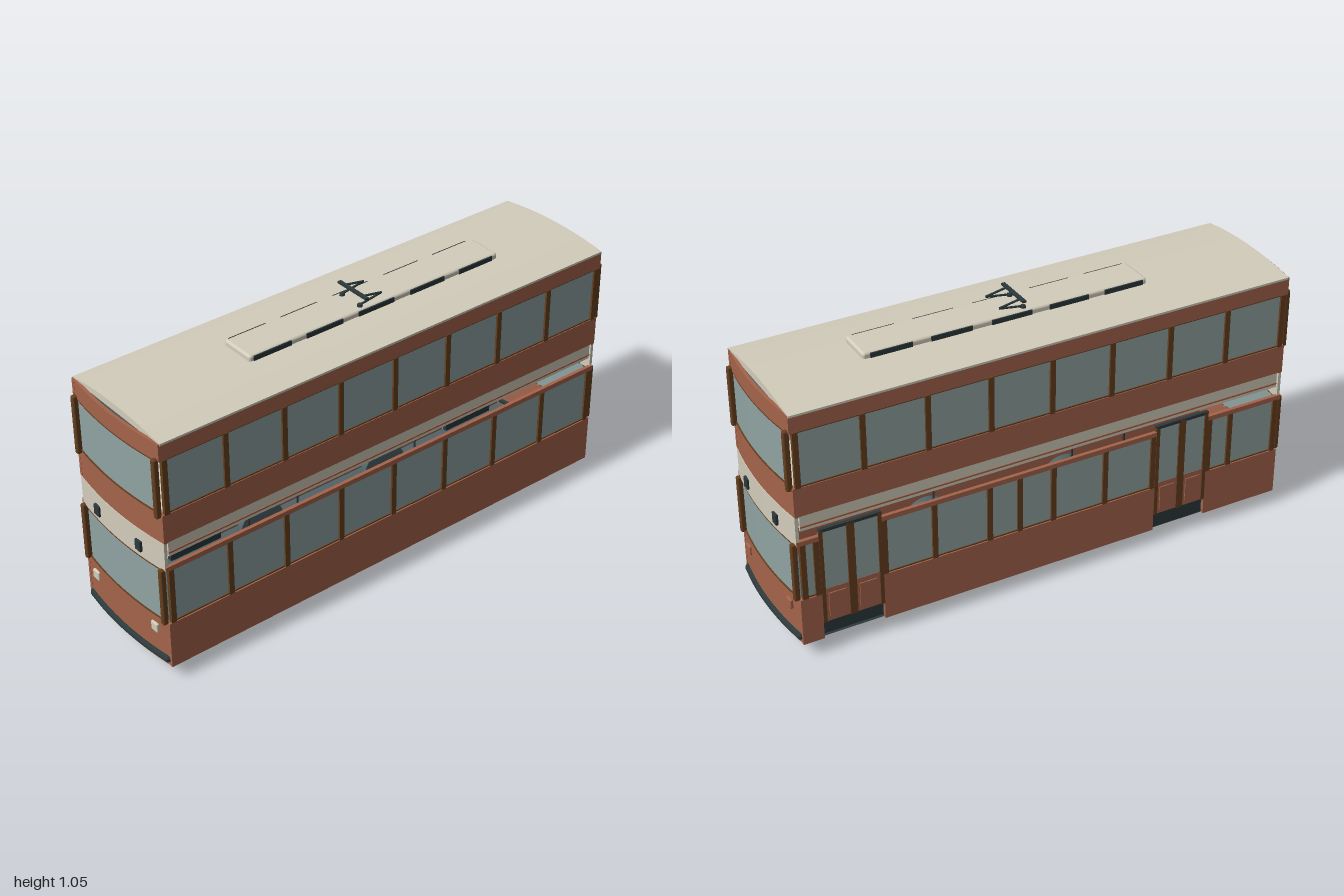
import * as THREE from 'three';
import { toCreasedNormals } from 'three/addons/utils/BufferGeometryUtils.js';
import { RoundedBoxGeometry } from 'three/addons/geometries/RoundedBoxGeometry.js';

const mat = (name, color) => {
  const m = new THREE.MeshStandardMaterial({ color });
  m.name = name;
  return m;
};

export function createModel() {
  const red = mat('brick red', 0xa5644b);
  const cream = mat('cream', 0xd3cdbc);
  const glass = mat('window glass', 0x91a4a3);
  const brown = mat('brown frame', 0x66401f);
  const dark = mat('dark rubber', 0x2c393b);
  const steel = mat('underframe steel', 0x50646a);

  const tram = new THREE.Group();
  tram.name = 'doubleDeckTram';

  const add = (parent, name, geo, material, x = 0, y = 0, z = 0) => {
    const m = new THREE.Mesh(geo, material);
    m.name = name;
    m.position.set(x, y, z);
    parent.add(m);
    return m;
  };
  // Box given by its limits on each axis
  const box = (parent, name, material, x0, x1, y0, y1, z0, z1) =>
    add(parent, name, new THREE.BoxGeometry(x1 - x0, y1 - y0, z1 - z0), material,
      (x0 + x1) / 2, (y0 + y1) / 2, (z0 + z1) / 2);

  // Curved strip that follows the bowed end of the car
  const bow = x => 0.987 - 0.022 * (x / 0.25) ** 2;
  const endStrip = (parent, name, material, half, y0, y1, offset = 0, thick = 0.012) => {
    const shape = new THREE.Shape();
    const n = 14;
    for (let i = 0; i <= n; i++) {
      const x = -half + (2 * half * i) / n;
      const z = -(bow(x) + offset);
      if (i) shape.lineTo(x, z); else shape.moveTo(x, z);
    }
    for (let i = n; i >= 0; i--) {
      const x = -half + (2 * half * i) / n;
      shape.lineTo(x, -(bow(x) + offset - thick));
    }
    const geo = new THREE.ExtrudeGeometry(shape, { depth: y1 - y0, bevelEnabled: false });
    geo.rotateX(-Math.PI / 2);
    return add(parent, name, toCreasedNormals(geo, 0.5), material, 0, y0, 0);
  };

  // Front and back ends
  for (const front of [true, false]) {
    const end = new THREE.Group();
    end.name = front ? 'frontEnd' : 'backEnd';
    if (!front) end.rotation.y = Math.PI;
    tram.add(end);
    endStrip(end, 'lowerApron', red, 0.25, 0.06, 0.245);
    endStrip(end, 'lowerWindscreen', glass, 0.218, 0.245, 0.463, -0.003, 0.006);
    endStrip(end, 'creamBand', cream, 0.245, 0.466, 0.577, 0.002);
    endStrip(end, 'upperApron', red, 0.248, 0.577, 0.692);
    endStrip(end, 'upperWindscreen', glass, 0.22, 0.692, 0.9, -0.003, 0.006);
    endStrip(end, 'header', red, 0.248, 0.9, 0.968);
    for (const y of [0.245, 0.459, 0.692, 0.896])
      endStrip(end, 'windscreenTrim', brown, 0.222, y, y + 0.004, 0.001, 0.01);
    for (const s of [-1, 1]) {
      for (const [y0, y1] of [[0.24, 0.47], [0.68, 0.91]])
        add(end, 'cornerPost', new RoundedBoxGeometry(0.02, y1 - y0, 0.022, 2, 0.006), brown,
          s * 0.231, (y0 + y1) / 2, 0.974);
      add(end, 'lamp', new RoundedBoxGeometry(0.036, 0.036, 0.012, 2, 0.004), front ? cream : red,
        s * 0.177, 0.198, bow(0.177) + 0.003);
      box(end, 'marker', dark, s * 0.122 - 0.015, s * 0.122 + 0.015, 0.491, 0.531, 0.978, 0.992);
    }
    // Bumper bar
    const pts = [-0.225, -0.12, 0, 0.12, 0.225].map(x => new THREE.Vector3(x, 0.084, bow(x) - 0.002));
    const curve = new THREE.CatmullRomCurve3(pts);
    add(end, 'bumper', new THREE.TubeGeometry(curve, 20, 0.015, 10), dark);
    for (const s of [0, 4]) {
      const cap = add(end, 'bumperCap', new THREE.SphereGeometry(0.015, 10, 8), dark);
      cap.position.copy(pts[s]);
    }
  }

  // Side helpers: s is the side, x is the outer face
  const plate = (name, material, s, x, t, y0, y1, z0, z1) =>
    box(tram, name, material, Math.min(s * x, s * (x - t)), Math.max(s * x, s * (x - t)), y0, y1, z0, z1);
  const windowRow = (s, posts, y0, y1) => {
    const a = posts[0], b = posts[posts.length - 1];
    plate('sideGlass', glass, s, 0.242, 0.006, y0, y1, a, b);
    plate('windowSill', brown, s, 0.245, 0.008, y0, y0 + 0.005, a, b);
    plate('windowHead', brown, s, 0.245, 0.008, y1 - 0.005, y1, a, b);
    for (const z of posts) plate('windowPost', brown, s, 0.25, 0.014, y0, y1, z - 0.01, z + 0.01);
  };

  const even = Array.from({ length: 9 }, (_, i) => -0.948 + i * 0.237);
  const doors = [[-0.89, -0.66], [0.43, 0.65]];
  for (const s of [-1, 1]) {
    // Upper deck
    windowRow(s, even, 0.69, 0.902);
    plate('upperPanel', red, s, 0.248, 0.012, 0.58, 0.69, -0.968, 0.968);
    plate('upperHeader', red, s, 0.248, 0.012, 0.902, 0.968, -0.968, 0.968);
    plate('creamSideBand', cream, s, 0.243, 0.01, 0.518, 0.58, -0.95, 0.95);
    plate('bandStripe', red, s, 0.246, 0.005, 0.531, 0.537, -0.95, 0.95);
    // Lower deck, interrupted by doors on the right side
    const spans = s > 0
      ? [[-0.968, 0.968, even]]
      : [[-0.968, -0.89, [-0.948, -0.9]],
        [-0.66, 0.43, [-0.65, -0.46, -0.246, -0.127, 0.008, 0.22, 0.42]],
        [0.65, 0.968, [0.66, 0.75, 0.948]]];
    for (const [a, b, posts] of spans) {
      plate('lowerPanel', red, s, 0.25, 0.012, 0.06, 0.245, a, b);
      windowRow(s, posts, 0.245, 0.465);
      plate('lowerRail', red, s, 0.25, 0.014, 0.463, 0.482, a, b);
    }
  }

  // Double-leaf doors
  for (const [a, b] of doors) {
    const mid = (a + b) / 2;
    for (const [p, q] of [[a, mid], [mid, b]]) {
      plate('doorPanel', red, -1, 0.247, 0.01, 0.125, 0.26, p, q);
      plate('doorInset', red, -1, 0.251, 0.008, 0.145, 0.24, p + 0.025, q - 0.025);
      plate('doorGlass', glass, -1, 0.246, 0.006, 0.26, 0.495, p, q);
      for (const z of [p + 0.007, q - 0.007])
        plate('doorStile', brown, -1, 0.252, 0.014, 0.125, 0.505, z - 0.007, z + 0.007);
    }
    plate('doorHead', dark, -1, 0.252, 0.014, 0.495, 0.507, a, b);
    plate('doorStep', dark, -1, 0.235, 0.02, 0.06, 0.125, a, b);
  }

  // Floors, stanchions and underframe
  box(tram, 'lowerFloor', steel, -0.235, 0.235, 0.058, 0.068, -0.96, 0.96);
  box(tram, 'upperFloor', cream, -0.234, 0.234, 0.545, 0.555, -0.96, 0.96);
  for (const z of [-0.38, 0.18, 0.4])
    add(tram, 'stanchion', new THREE.CylinderGeometry(0.004, 0.004, 0.48, 8), dark, -0.08, 0.307, z);
  add(tram, 'underframe', new RoundedBoxGeometry(0.41, 0.034, 1.87, 3, 0.014), steel, 0, 0.047, 0);
  for (const x of [-0.161, 0.161])
    for (const z of [-0.29, 0.29]) {
      const wheel = add(tram, 'wheel', new THREE.CylinderGeometry(0.097, 0.097, 0.026, 32), steel, x, 0.097, z);
      wheel.rotation.z = Math.PI / 2;
      wheel.scale.y = 1;
    }

  // Arched roof
  const arch = x => 0.988 - 0.02 * (x / 0.25) ** 2;
  const roofShape = new THREE.Shape();
  roofShape.moveTo(-0.25, 0.962);
  for (let i = 0; i <= 16; i++) {
    const x = -0.25 + (0.5 * i) / 16;
    roofShape.lineTo(x, arch(x) + 0.002);
  }
  roofShape.lineTo(0.25, 0.962);
  const roofGeo = new THREE.ExtrudeGeometry(roofShape, { depth: 1.93, bevelEnabled: false });
  add(tram, 'roof', toCreasedNormals(roofGeo, 0.5), cream, 0, 0, -0.967);

  // Roof housing with side vents
  add(tram, 'roofHousing', new RoundedBoxGeometry(0.14, 0.03, 1.1, 3, 0.01), cream, 0, 0.995, -0.07);
  for (const z of [0.385, 0.165, -0.06, -0.29, -0.515])
    for (const s of [-1, 1])
      box(tram, 'roofVent', dark, s * 0.07 - 0.003, s * 0.07 + 0.003, 0.988, 1.006, z - 0.078, z + 0.078);

  // Current collector
  const rod = (name, a, b, r) => {
    const curve = new THREE.LineCurve3(new THREE.Vector3(...a), new THREE.Vector3(...b));
    add(tram, name, new THREE.TubeGeometry(curve, 1, r, 8), dark);
  };
  for (const s of [-1, 1]) {
    const x = s * 0.048;
    add(tram, 'collectorFoot', new THREE.CylinderGeometry(0.009, 0.011, 0.014, 12), dark, x, 1.012, -0.005);
    rod('collectorLowerArm', [x, 1.015, 0], [x, 1.03, -0.1], 0.004);
    rod('collectorUpperArm', [x, 1.03, -0.1], [x, 1.046, -0.015], 0.004);
  }
  box(tram, 'collectorBar', dark, -0.076, 0.076, 1.043, 1.051, -0.022, -0.008);

  return tram;
}
